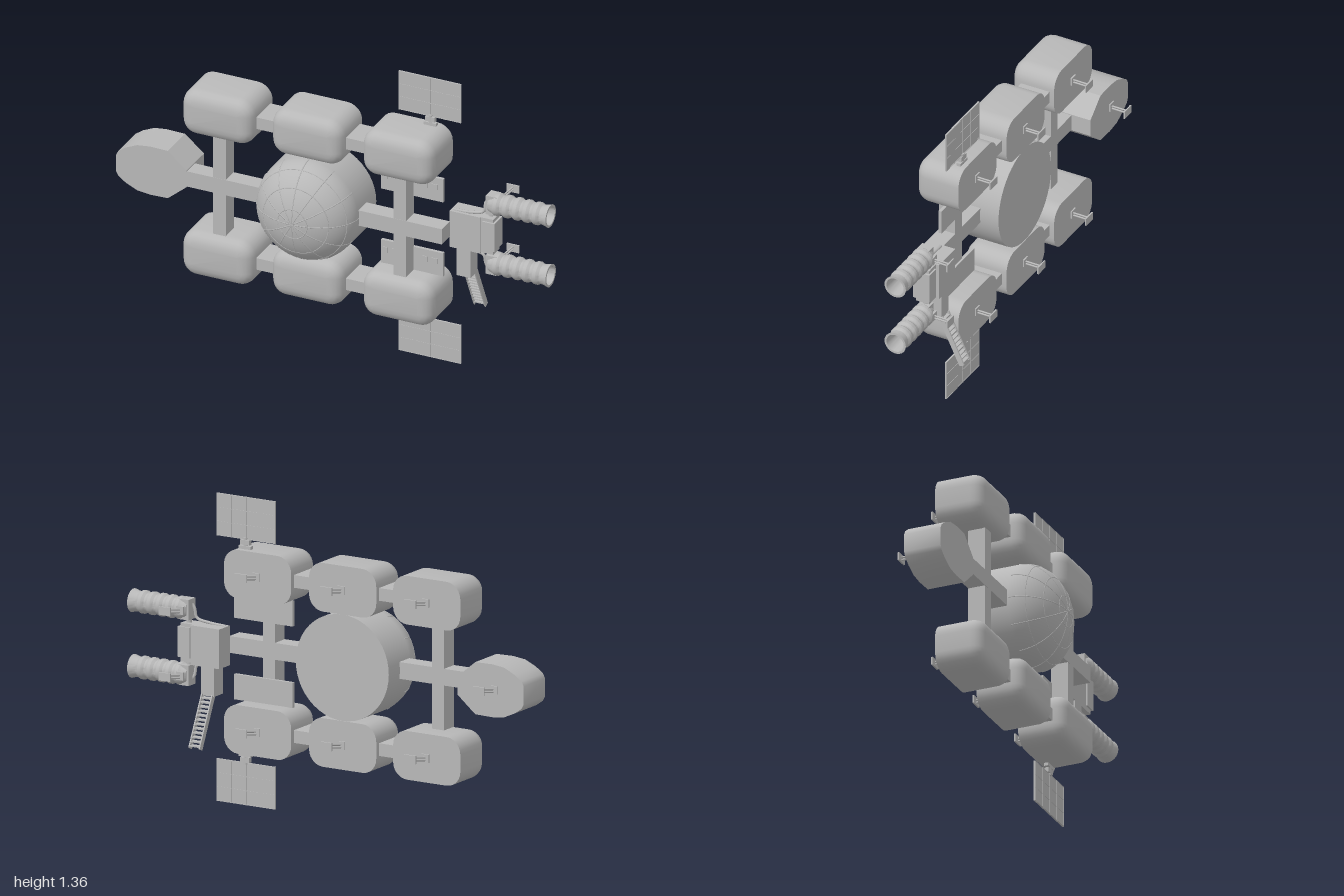
import * as THREE from 'three';
import { toCreasedNormals } from 'three/addons/utils/BufferGeometryUtils.js';

const hull = new THREE.MeshStandardMaterial({ color: 0xb8b8b8, side: THREE.DoubleSide });
hull.name = 'hull grey';

const MID = 0.69; // height of the station's horizontal axis

export function createModel() {
  const root = new THREE.Group();
  root.name = 'spaceStation';

  const add = (name, geo, x = 0, y = 0, z = 0) => {
    const m = new THREE.Mesh(geo, hull);
    m.name = name;
    m.position.set(x, y, z);
    root.add(m);
    return m;
  };
  // Box given by its min and max on each axis
  const box = (name, x0, x1, y0, y1, z0, z1) =>
    add(name, new THREE.BoxGeometry(x1 - x0, y1 - y0, z1 - z0), (x0 + x1) / 2, (y0 + y1) / 2, (z0 + z1) / 2);
  // Cylinder between two points
  const rod = (name, a, b, r) => {
    const p = new THREE.Vector3(...a), q = new THREE.Vector3(...b), d = q.clone().sub(p);
    const m = add(name, new THREE.CylinderGeometry(r, r, d.length(), 10));
    m.position.copy(p).add(q).multiplyScalar(0.5);
    m.quaternion.setFromUnitVectors(new THREE.Vector3(0, 1, 0), d.normalize());
    return m;
  };

  // Habitat pods: rounded rectangles lofted forward to a pillowed front
  const podGeo = podGeometry(0.17, 0.1075, 0.07);
  for (const x of [-0.51, -0.085, 0.345]) {
    for (const y of [1.0325, 0.3475]) {
      add('habitatPod', podGeo, x, y, 0);
      antenna(x + 0.005, y, -0.125);
    }
  }

  // Connectors between neighbouring pods
  for (const y of [1.0325, 0.3475]) {
    for (const [x0, x1] of [[-0.36, -0.235], [0.065, 0.195]]) {
      box('podConnector', x0, x1, y - 0.028, y + 0.028, -0.105, 0.035);
    }
  }

  // Corridors
  box('mainCorridor', -0.68, 0.545, MID - 0.037, MID + 0.037, -0.035, 0.045);
  for (const x of [-0.51, 0.345]) box('crossCorridor', x - 0.03, x + 0.03, 0.44, 0.94, -0.035, 0.044);

  // Central drum and dome with framing ribs
  const drum = add('centralDrum', new THREE.CylinderGeometry(0.235, 0.235, 0.175, 48), -0.082, MID, -0.0375);
  drum.rotation.x = Math.PI / 2;
  const dome = new THREE.Group();
  dome.name = 'dome';
  dome.position.set(-0.082, MID, 0.05);
  dome.rotation.x = Math.PI / 2;
  dome.scale.y = 0.175 / 0.235;
  const domePart = (name, geo) => {
    const m = new THREE.Mesh(geo, hull);
    m.name = name;
    dome.add(m);
    return m;
  };
  domePart('domeShell', new THREE.SphereGeometry(0.235, 48, 16, 0, Math.PI * 2, 0, Math.PI / 2));
  for (let i = 0; i < 6; i++) {
    domePart('domeRib', new THREE.TorusGeometry(0.2345, 0.0025, 5, 32, Math.PI)).rotation.y = i * Math.PI / 6;
  }
  for (const t of [0.3, 0.72, 1.15]) {
    const ring = domePart('domeRing', new THREE.TorusGeometry(0.2345 * Math.sin(t), 0.0025, 5, 40));
    ring.rotation.x = Math.PI / 2;
    ring.position.y = 0.2345 * Math.cos(t);
  }
  root.add(dome);

  // Tapered end module
  const s = new THREE.Shape();
  const top = [[-0.665, 0.04], [-0.755, 0.115], [-0.84, 0.117], [-0.9, 0.11], [-0.955, 0.085], [-0.99, 0.06], [-1, 0.04]];
  top.forEach(([x, y], i) => (i ? s.lineTo(x, y) : s.moveTo(x, y)));
  top.slice().reverse().forEach(([x, y]) => s.lineTo(x, -y));
  const endGeo = new THREE.ExtrudeGeometry(s, { depth: 0.172, bevelEnabled: false });
  add('endModule', toCreasedNormals(endGeo, 0.5), 0, MID, -0.127);
  antenna(-0.85, MID + 0.005, -0.125);

  // Equipment panels beside the right-hand cross corridor
  for (const side of [1, -1]) {
    const y = MID + side * 0.18;
    box('equipmentPanel', 0.22, 0.515, y - 0.056, y + 0.056, -0.045, -0.03);
    for (const x of [0.24, 0.285, 0.43, 0.475]) {
      box('panelHatch', x - 0.013, x + 0.013, y - 0.002, y + 0.024, -0.032, -0.027);
    }
  }

  // Solar arrays, above and below
  for (const side of [1, -1]) {
    const at = d => MID + side * d;
    add('solarPanel', new THREE.BoxGeometry(0.295, 0.188, 0.005), 0.4225, at(0.586), -0.095);
    for (let i = 0; i <= 4; i++) {
      add('solarFrame', new THREE.BoxGeometry(0.004, 0.188, 0.008), 0.277 + i * 0.07275, at(0.586), -0.095);
    }
    for (let i = 0; i <= 3; i++) {
      add('solarFrame', new THREE.BoxGeometry(0.295, 0.003, 0.008), 0.4225, at(0.494 + i * 0.0613), -0.095);
    }
    rod('solarMast', [0.425, at(0.44), -0.095], [0.425, at(0.5), -0.095], 0.01);
    add('solarMount', new THREE.BoxGeometry(0.06, 0.014, 0.02), 0.425, at(0.458), -0.095);
    add('solarHinge', new THREE.BoxGeometry(0.045, 0.022, 0.018), 0.425, at(0.48), -0.095);
  }

  // Docked propulsion unit
  box('propulsionBody', 0.54, 0.685, 0.6, 0.775, -0.125, -0.04);
  box('propulsionRear', 0.68, 0.745, 0.605, 0.775, -0.11, -0.045);
  box('propulsionFrame', 0.695, 0.755, 0.625, 0.76, -0.117, -0.037);
  box('airlockNeck', 0.575, 0.64, 0.47, 0.605, -0.112, -0.04);

  // Slanted boarding ladder
  const lx = 0.608;
  for (const x of [lx - 0.026, lx + 0.026]) {
    const rail = add('ladderRail', new THREE.BoxGeometry(0.006, 0.24, 0.024), x, 0.365, -0.158);
    rail.rotation.x = Math.atan2(0.1, 0.21);
  }
  for (let i = 0; i < 12; i++) {
    const t = (i + 0.5) / 12;
    add('ladderStep', new THREE.BoxGeometry(0.05, 0.006, 0.024), lx, 0.47 - t * 0.21, -0.108 - t * 0.1);
  }

  // Ribbed engines, open at the outer end
  const profile = [[0, 0], [0.036, 0], [0.042, 0.012]];
  for (let i = 0; i < 5; i++) {
    const x = 0.02 + i * 0.047;
    profile.push([0.044, x], [0.051, x + 0.012], [0.051, x + 0.027], [0.044, x + 0.04]);
  }
  profile.push([0.046, 0.265], [0.052, 0.285], [0.042, 0.285], [0.036, 0.2], [0, 0.2]);
  const engineGeo = toCreasedNormals(
    new THREE.LatheGeometry(profile.map(([r, h]) => new THREE.Vector2(r, h)), 28), 0.4);
  for (const side of [1, -1]) {
    const y = MID + side * 0.145;
    add('engine', engineGeo, 0.715, y, -0.083).rotation.z = -Math.PI / 2;
    box('engineMount', 0.705, 0.755, y - 0.045, y + 0.045, -0.11, -0.055);
    const path = new THREE.CatmullRomCurve3([
      [0.55, 0.085, -0.06], [0.63, 0.09, -0.06], [0.69, 0.105, -0.065], [0.7, 0.15, -0.07], [0.725, 0.185, -0.08],
    ].map(([px, d, pz]) => new THREE.Vector3(px, MID + side * d, pz)));
    add('enginePipe', new THREE.TubeGeometry(path, 24, 0.007, 8));
    rod('engineStrut', [0.72, MID + side * 0.07, -0.08], [0.72, y, -0.08], 0.012);
    antenna(0.735, y, -0.125);
  }

  // Rear dish: foot, twin struts and a square plate
  function antenna(x, y, z) {
    box('antennaFoot', x - 0.018, x + 0.018, y - 0.018, y + 0.018, z - 0.008, z + 0.004);
    for (const d of [-0.006, 0.006]) {
      rod('antennaStrut', [x, y - 0.004 + d, z], [x + 0.022, y + 0.012 + d, z - 0.092], 0.004);
    }
    box('antennaPlate', x - 0.008, x + 0.052, y - 0.006, y + 0.03, z - 0.097, z - 0.09);
  }

  return root;
}

// Loft of rounded rectangles: [z, inset] sections from the flat back to the front
function podGeometry(hw, hh, radius) {
  const sections = [[-0.127, 0], [0.035, 0], [0.055, 0.005], [0.07, 0.014], [0.081, 0.028], [0.087, 0.045], [0.09, 0.066]];
  const arc = 7, pos = [], index = [], n = arc * 4;
  for (const [z, inset] of sections) {
    const r = radius - inset;
    for (let c = 0; c < 4; c++) {
      const cx = (c === 0 || c === 3 ? 1 : -1) * (hw - radius);
      const cy = (c < 2 ? 1 : -1) * (hh - radius);
      for (let i = 0; i < arc; i++) {
        const a = (c + i / (arc - 1)) * Math.PI / 2;
        pos.push(cx + r * Math.cos(a), cy + r * Math.sin(a), z);
      }
    }
  }
  for (let k = 0; k < sections.length - 1; k++) {
    for (let i = 0; i < n; i++) {
      const a = k * n + i, b = k * n + (i + 1) % n;
      index.push(a, b, b + n, a, b + n, a + n);
    }
  }
  // End caps
  const last = (sections.length - 1) * n;
  for (let i = 1; i < n - 1; i++) index.push(0, i + 1, i, last, last + i, last + i + 1);
  const g = new THREE.BufferGeometry();
  g.setAttribute('position', new THREE.Float32BufferAttribute(pos, 3));
  g.setIndex(index);
  return toCreasedNormals(g, 0.7);
}
